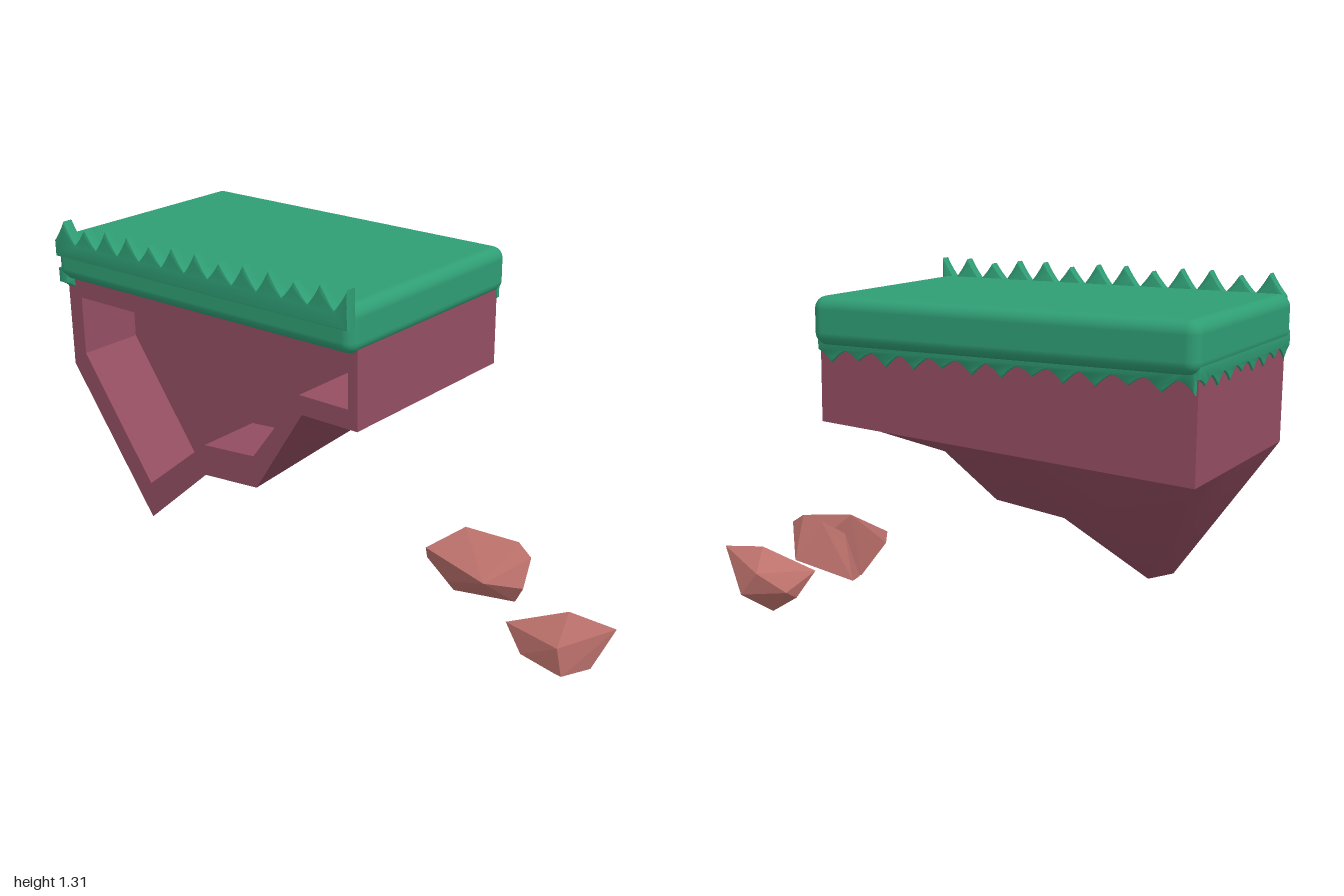
import * as THREE from 'three';
import { toCreasedNormals } from 'three/addons/utils/BufferGeometryUtils.js';
import { RoundedBoxGeometry } from 'three/addons/geometries/RoundedBoxGeometry.js';
import { ConvexGeometry } from 'three/addons/geometries/ConvexGeometry.js';

const mat = (name, color) => {
  const m = new THREE.MeshStandardMaterial({ color });
  m.name = name;
  return m;
};

// Surface through rows of [x, y, z] points
function loft(rings, crease) {
  const n = rings[0].length, index = [];
  for (let r = 0; r < rings.length - 1; r++) {
    for (let i = 0; i < n - 1; i++) {
      const a = r * n + i, b = a + 1, c = a + n, d = c + 1;
      index.push(a, c, b, b, c, d);
    }
  }
  const g = new THREE.BufferGeometry();
  g.setAttribute('position', new THREE.Float32BufferAttribute(rings.flat(2), 3));
  g.setIndex(index);
  g.computeVertexNormals();
  return crease ? toCreasedNormals(g, crease) : g;
}

// Strip of grass with a toothed upper edge, starting at x = 0
function fringe(length, pitch, base, tip, depth) {
  const s = new THREE.Shape();
  s.moveTo(length, 0);
  const half = pitch / 2, steps = Math.round(length / half);
  let px = length, py = steps % 2 ? tip : base;
  s.lineTo(px, py);
  for (let k = steps - 1; k >= 0; k--) {
    const x = k * half, y = k % 2 ? tip - 0.012 * (k % 3 === 0) : base;
    s.quadraticCurveTo((px + x) / 2, (py + y) / 2 - 0.008, x, y);
    px = x;
    py = y;
  }
  s.lineTo(0, 0);
  const bevel = 0.005;
  const g = new THREE.ExtrudeGeometry(s, {
    depth: depth - 2 * bevel, bevelThickness: bevel, bevelSize: bevel,
    bevelOffset: -bevel, bevelSegments: 2, curveSegments: 4,
  });
  g.translate(0, 0, bevel);
  return toCreasedNormals(g, 0.7);
}

export function createModel() {
  const model = new THREE.Group();
  const grass = mat('grass green', 0x2f9e75);
  const earth = mat('earth plum', 0x944e62);
  const stone = mat('stone rose', 0xbd716c);
  const add = (name, geometry, material, parent = model) => {
    const m = new THREE.Mesh(geometry, material);
    m.name = name;
    parent.add(m);
    return m;
  };

  // Grass slab
  add('grassSlab', new RoundedBoxGeometry(1.29, 0.155, 0.835, 4, 0.04), grass)
    .position.set(-0.355, 1.168, -0.008);

  // Toothed grass: upright at the front, hanging at the back and left edge
  add('frontFringe', fringe(1.265, 0.1012, 0.055, 0.127, 0.04), grass)
    .position.set(-0.975, 1.18, 0.39);
  const back = add('backFringe', fringe(1.27, 0.1016, 0.05, 0.09, 0.016), grass);
  back.rotation.z = Math.PI;
  back.position.set(0.285, 1.125, -0.396);
  const side = add('sideFringe', fringe(0.8, 0.1, 0.05, 0.085, 0.04), grass);
  side.rotation.set(Math.PI, Math.PI / 2, 0, 'YXZ');
  side.position.set(-0.957, 1.13, 0.405);

  // Earth body
  const body = new THREE.Group();
  body.name = 'earthBody';
  model.add(body);
  const zF = 0.37, zB = -0.385, top = 1.12, L = -0.99, R = 0.28;
  const lower = [[L, 0.77], [-0.64, 0.27], [-0.37, 0.51], [-0.14, 0.53], [0.06, 0.84], [R, 0.84]];
  const middle = [[L, 0.77], [-0.7, 0.36], [-0.4, 0.52], [-0.15, 0.55], [0.03, 0.69], [R, 0.84]];
  const rear = lower.map(([x]) => [x, 0.77 + 0.07 * (x - L) / (R - L)]);
  const at = (pts, z) => pts.map(([x, y]) => [x, y, z]);
  add('underside', loft([at(lower, zF), at(middle, 0), at(rear, zB)]), earth, body);

  // Left, back and right walls
  const plan = [[R, zF, 0.84], [R, zB, 0.84], [L, zB, 0.77], [L, zF, 0.77]];
  add('outerWalls', loft([
    plan.map(([x, z]) => [x, top, z]),
    plan.map(([x, z, y]) => [x, y, z]),
  ], 0.5), earth, body);

  // Front frame around a recess
  const inner = [[-0.93, 0.82], [-0.64, 0.4], [-0.37, 0.62], [-0.15, 0.64],
    [0.05, 0.905], [0.245, 0.905], [0.245, 1.025], [-0.93, 1.025]];
  const v2 = (pts) => pts.map(([x, y]) => new THREE.Vector2(x, y));
  const frame = new THREE.Shape(v2([...lower, [R, top], [L, top]]));
  frame.holes.push(new THREE.Path(v2(inner)));
  add('frontFrame', new THREE.ShapeGeometry(frame), earth, body).position.z = zF;
  const loop = [...inner, inner[0]].reverse(), zR = 0.13;
  add('recessWalls', loft([at(loop, zF), at(loop, zR)], 0.5), earth, body);
  add('recessBack', new THREE.ShapeGeometry(new THREE.Shape(v2(inner))), earth, body).position.z = zR;

  // Loose faceted rocks
  const rock = (name, pts) => add(name,
    new ConvexGeometry(pts.map((p) => new THREE.Vector3(...p))), stone);
  rock('upperRock', [
    [0.345, 0.35, 0.09], [0.345, 0.31, 0.08], [0.44, 0.42, 0], [0.62, 0.405, -0.04],
    [0.675, 0.37, -0.03], [0.68, 0.28, 0.02], [0.58, 0.3, 0.1], [0.64, 0.21, 0],
    [0.42, 0.19, 0.03], [0.62, 0.25, -0.095], [0.42, 0.24, 0.07],
  ]);
  rock('upperRockSpur', [
    [0.355, 0.22, -0.12], [0.44, 0.36, -0.04], [0.42, 0.19, 0.02],
    [0.62, 0.25, -0.095], [0.55, 0.39, -0.03],
  ]);
  rock('lowerRock', [
    [0.645, 0.165, 0.06], [0.84, 0.245, 0], [1, 0.23, -0.02], [0.945, 0.09, 0.03],
    [0.8, 0, 0], [0.69, 0.07, 0], [0.86, 0.165, 0.1], [0.72, 0.085, 0.085],
    [0.88, 0.07, 0.1], [0.8, 0.17, -0.095], [0.87, 0.08, -0.1], [0.7, 0.1, -0.05],
  ]);
  return model;
}
